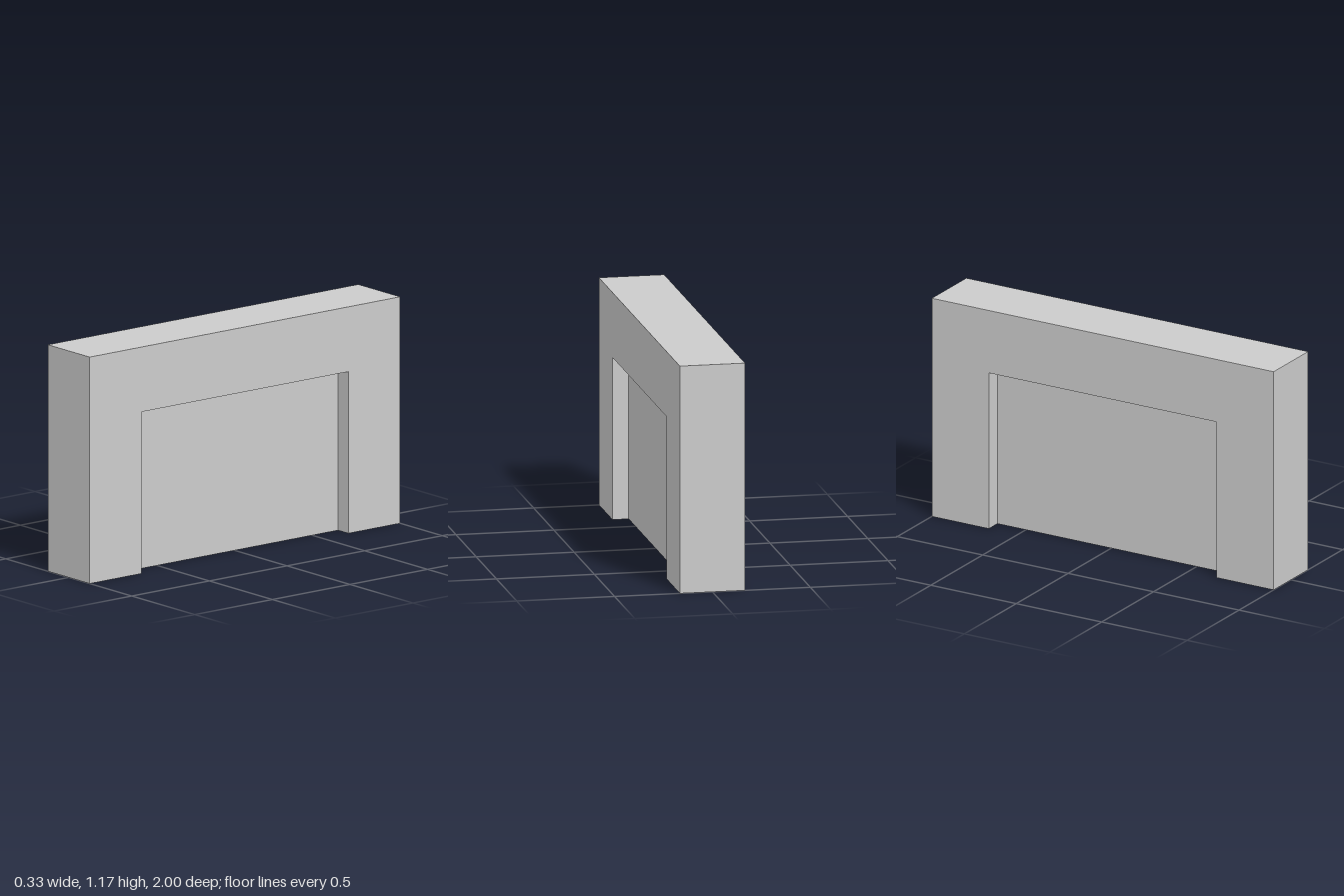
import * as THREE from 'three';

const LENGTH = 2, HEIGHT = 1.167, DEPTH = 0.333;
const OPENING_LENGTH = 1.333, OPENING_HEIGHT = 0.833, PANEL_DEPTH = 0.167;

export function createModel() {
  const group = new THREE.Group();
  const material = new THREE.MeshStandardMaterial({ color: 0xcccccc, flatShading: true });

  // Surround: two posts and a lintel as one upside-down U, extruded across x
  const a = LENGTH / 2, b = OPENING_LENGTH / 2;
  const outline = new THREE.Shape([
    [-a, 0], [-b, 0], [-b, OPENING_HEIGHT], [b, OPENING_HEIGHT],
    [b, 0], [a, 0], [a, HEIGHT], [-a, HEIGHT],
  ].map(([x, y]) => new THREE.Vector2(x, y)));
  const frameGeometry = new THREE.ExtrudeGeometry(outline, { depth: DEPTH, bevelEnabled: false });
  frameGeometry.translate(0, 0, -DEPTH / 2).rotateY(Math.PI / 2);
  const frame = new THREE.Mesh(frameGeometry, material);
  frame.name = 'frame';
  group.add(frame);

  // Panel filling the opening, set back equally on both sides
  const panel = new THREE.Mesh(
    new THREE.BoxGeometry(PANEL_DEPTH, OPENING_HEIGHT, OPENING_LENGTH), material);
  panel.position.y = OPENING_HEIGHT / 2;
  panel.name = 'recessedPanel';
  group.add(panel);

  return group;
}
